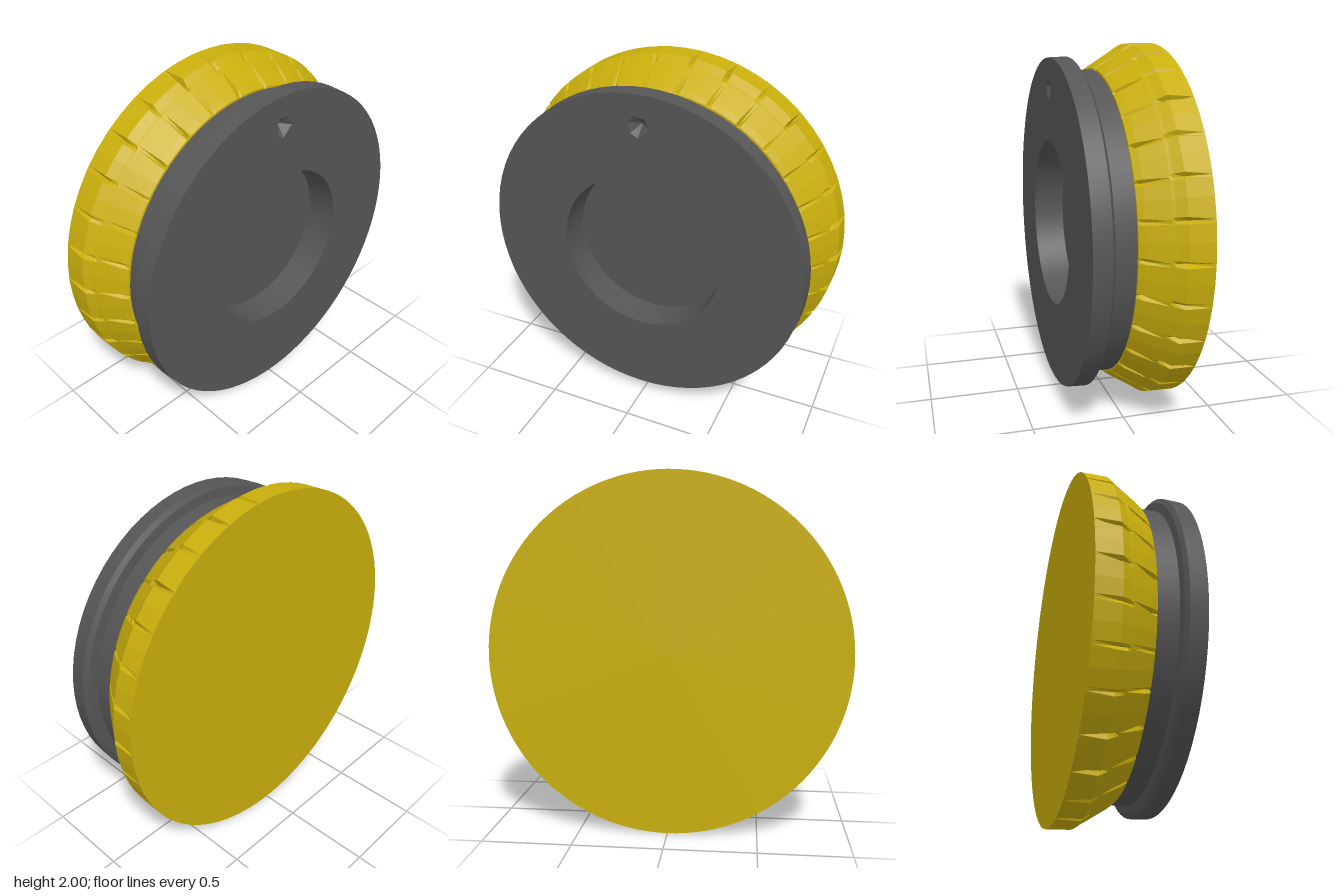
import * as THREE from 'three';
import { toCreasedNormals } from 'three/addons/utils/BufferGeometryUtils.js';

const yellow = new THREE.MeshStandardMaterial({ color: 0xc9ae0c, flatShading: true });
const dark = new THREE.MeshStandardMaterial({ color: 0x555555 });
const darkFacet = new THREE.MeshStandardMaterial({ color: 0x555555, flatShading: true });

function named(name, geometry, material) {
  const mesh = new THREE.Mesh(geometry, material);
  mesh.name = name;
  return mesh;
}

// Profile of [radius, z] turned about the z axis
function turned(name, profile) {
  const g = new THREE.LatheGeometry(profile.map(([r, z]) => new THREE.Vector2(r, z)), 72);
  g.rotateX(Math.PI / 2);
  return named(name, toCreasedNormals(g, 0.4), dark);
}

// Knurled grip: rings along z, each with a narrow notch per tooth
function gripGeometry() {
  const teeth = 30;
  const steps = [0, 0.42, 0.84, 0.92];
  // [z, radius, notch depth]
  const rings = [
    [-0.285, 1, 0], [-0.15, 0.997, 0.035], [-0.105, 0.965, 0.012],
    [-0.09, 0.957, 0], [0.02, 0.888, 0.03], [0.05, 0.865, 0.012], [0.05, 0.83, 0],
  ];
  const n = teeth * steps.length;
  const pos = [], index = [];
  rings.forEach(([z, r, dip], k) => {
    for (let i = 0; i < n; i++) {
      const tooth = Math.floor(i / 4), s = i % 4;
      const a = ((tooth + steps[s]) / teeth) * Math.PI * 2;
      const vary = 0.75 + 0.35 * Math.sin(tooth * 2.4 + k);
      const rr = r - (s === 3 ? dip * vary : 0);
      pos.push(Math.cos(a) * rr, Math.sin(a) * rr, z);
    }
  });
  for (let k = 0; k < rings.length - 1; k++) {
    for (let i = 0; i < n; i++) {
      const j = (i + 1) % n;
      const a = k * n + i, b = k * n + j, c = b + n, d = a + n;
      index.push(a, b, c, a, c, d);
    }
  }
  const g = new THREE.BufferGeometry();
  g.setAttribute('position', new THREE.Float32BufferAttribute(pos, 3));
  g.setIndex(index);
  g.computeVertexNormals();
  return g;
}

export function createModel() {
  const model = new THREE.Group();
  model.name = 'controlKnob';

  // Everything is built about z, then turned so the axis lies along x
  const knob = new THREE.Group();
  knob.name = 'knob';
  knob.rotation.y = Math.PI / 2;
  knob.position.y = 1;
  model.add(knob);

  // Grip and its flat end
  knob.add(named('grip', gripGeometry(), yellow));
  const cap = named('gripEnd', new THREE.CircleGeometry(1, 120).rotateY(Math.PI), yellow);
  cap.position.z = -0.285;
  knob.add(cap);

  // Neck and flange
  knob.add(turned('neck', [[0.855, 0], [0.852, 0.175]]));
  knob.add(turned('flange', [[0.852, 0.165], [0.9, 0.172], [0.925, 0.19], [0.92, 0.285]]));

  // Flange face with the central recess and the marker dimple cut out
  const face = new THREE.Shape().absarc(0, 0, 0.92, 0, Math.PI * 2);
  const recessHole = new THREE.Path().absarc(0, 0, 0.465, 0, Math.PI * 2, true);
  const dimple = [[0, 1.69], [0.06, 1.745], [0.035, 1.795], [-0.025, 1.805], [-0.055, 1.77], [-0.045, 1.71]]
    .map(([x, y]) => new THREE.Vector2(x, y - 1));
  face.holes.push(recessHole, new THREE.Path(dimple));
  const faceMesh = named('flangeFace', new THREE.ShapeGeometry(face, 36), dark);
  faceMesh.position.z = 0.285;
  knob.add(faceMesh);

  // Marker dimple: a shallow faceted pit
  const pit = [];
  dimple.forEach((p, i) => {
    const q = dimple[(i + 1) % dimple.length];
    pit.push(p.x, p.y, 0.285, q.x, q.y, 0.285, 0.005, 0.755, 0.235);
  });
  const pitGeo = new THREE.BufferGeometry();
  pitGeo.setAttribute('position', new THREE.Float32BufferAttribute(pit, 3));
  pitGeo.computeVertexNormals();
  knob.add(named('markerDimple', pitGeo, darkFacet));

  // Recess wall and floor
  knob.add(turned('recessWall', [[0.465, 0.285], [0.455, 0.11]]));
  const floor = named('recessFloor', new THREE.CircleGeometry(0.456, 72), dark);
  floor.position.z = 0.11;
  knob.add(floor);

  return model;
}
